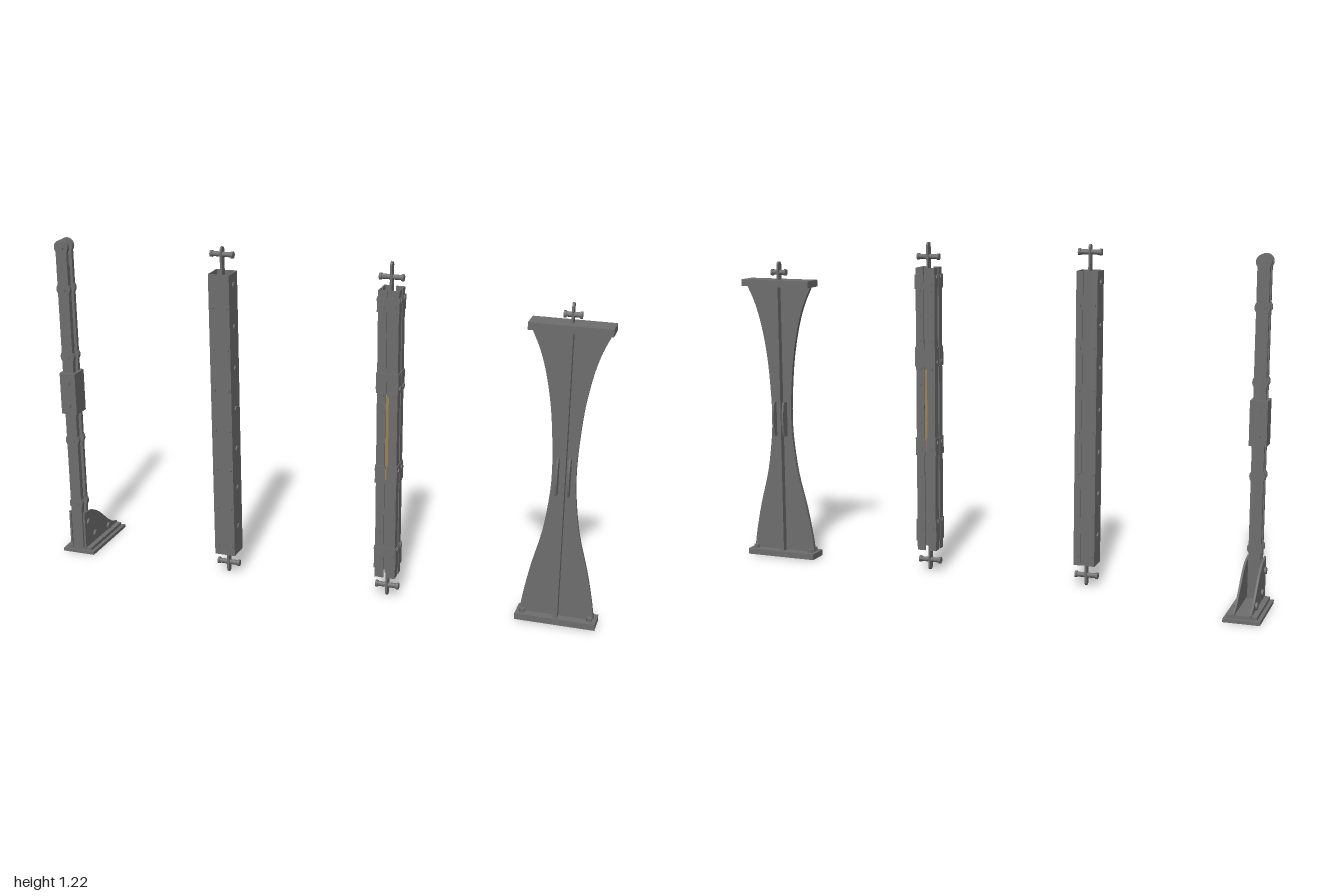
import * as THREE from 'three';

const steel = new THREE.MeshStandardMaterial({ color: 0x6e6e6e, side: THREE.DoubleSide, flatShading: true });
const tan = new THREE.MeshStandardMaterial({ color: 0x9a8258 });
const ZC = 0.098;

function add(parent, name, geo, x = 0, y = 0, z = 0, mat = steel) {
  const m = new THREE.Mesh(geo, mat);
  m.name = name;
  m.position.set(x, y, z);
  parent.add(m);
  return m;
}
// box given by its limits
function box(parent, name, x0, x1, y0, y1, z0, z1, mat) {
  return add(parent, name, new THREE.BoxGeometry(x1 - x0, y1 - y0, z1 - z0),
    (x0 + x1) / 2, (y0 + y1) / 2, (z0 + z1) / 2, mat);
}
// cylinder lying along an axis
function rod(parent, name, axis, r, len, x, y, z, sides = 12) {
  const m = add(parent, name, new THREE.CylinderGeometry(r, r, len, sides), x, y, z);
  if (axis === 'x') m.rotation.z = Math.PI / 2;
  if (axis === 'z') m.rotation.x = Math.PI / 2;
  return m;
}
// flat plate cut from an XY outline, centred on z
function plate(parent, name, shape, depth, x, y, z) {
  const g = new THREE.ExtrudeGeometry(shape, { depth, bevelEnabled: false, curveSegments: 12 });
  g.translate(0, 0, -depth / 2);
  return add(parent, name, g, x, y, z);
}
function group(parent, name, x = 0, z = ZC) {
  const g = new THREE.Group();
  g.name = name;
  g.position.set(x, 0, z);
  parent.add(g);
  return g;
}
// round-ended tang with a cross pin
function tangAndPin(parent, y0, y1, pinY, half) {
  const r = 0.013, s = new THREE.Shape();
  s.absarc(0, y1 - r, r, 0, Math.PI, false);
  s.absarc(0, y0 + r, r, Math.PI, Math.PI * 2, false);
  plate(parent, 'tang', s, 0.007, 0, 0, 0).rotation.y = Math.PI / 2;
  rod(parent, 'crossPin', 'x', 0.009, half * 2, 0, pinY, 0);
  for (const i of [-1, 1]) rod(parent, 'pinHead', 'x', 0.012, 0.008, i * (half - 0.004), pinY, 0);
}

// slender post of two knuckled plates on a braced foot
function footedPost(root) {
  const g = group(root, 'footedPost', -0.938);
  const knuckles = [0.2, 0.45, 0.77, 1.02, 1.171];
  for (const i of [-1, 1]) {
    const z = i * 0.019;
    box(g, 'rail', -0.021, 0.021, 0.02, 1.171, z - 0.007, z + 0.007);
    for (const y of knuckles) {
      rod(g, 'knuckle', 'z', 0.0265, 0.014, 0, y, z, 20);
      rod(g, 'boltHead', 'z', 0.01, 0.006, 0, y, i * 0.028, 8);
    }
    // middle splice plates
    box(g, 'splicePlate', -0.03, 0.03, 0.555, 0.71, i * 0.03 - 0.005, i * 0.03 + 0.005);
    box(g, 'spliceCheek', i * 0.025 - 0.005, i * 0.025 + 0.005, 0.555, 0.71, -0.033, 0.033);
    for (const y of [0.59, 0.675]) rod(g, 'boltHead', 'z', 0.01, 0.008, 0, y, i * 0.037, 8);
    // curved foot brace
    const s = new THREE.Shape();
    s.moveTo(-0.025, 0.02);
    s.lineTo(0.235, 0.02);
    s.lineTo(0.235, 0.028);
    s.bezierCurveTo(0.15, 0.05, 0.12, 0.125, 0.035, 0.156);
    s.lineTo(-0.025, 0.165);
    plate(g, 'footBrace', s, 0.007, i * 0.028, 0, 0).rotation.y = Math.PI / 2;
    for (const [y, z] of [[0.055, -0.048], [0.04, -0.158], [0.12, 0]])
      rod(g, 'braceBolt', 'x', 0.012, 0.01, i * 0.034, y, z, 10);
  }
  box(g, 'web', -0.011, 0.011, 0.02, 1.1, -0.014, 0.014);
  box(g, 'basePlate', -0.062, 0.062, 0, 0.012, -0.243, 0.027);
  box(g, 'baseStep', -0.05, 0.05, 0.012, 0.024, -0.232, 0.02);
}

// riveted hollow square column
function boxColumn(root) {
  const g = group(root, 'boxColumn', -0.339);
  const a = 0.038, t = 0.004, y0 = 0.085, y1 = 1.125;
  for (const i of [-1, 1]) {
    box(g, 'sideWall', i * (a - t / 2) - t / 2, i * (a - t / 2) + t / 2, y0, y1, -a, a);
    box(g, 'backFlange', i * 0.026 - 0.012, i * 0.026 + 0.012, y0, y1, -a, -a + t);
    for (let k = 0; k < 7; k++) {
      rod(g, 'sideRivet', 'x', 0.01, 0.006, i * 0.04, 0.19 + k * 0.149, 0, 8);
      for (const j of [-1, 1])
        rod(g, 'faceRivet', 'z', 0.007, 0.008, j * 0.026, 0.12 + k * 0.148, i * 0.042, 8);
    }
  }
  box(g, 'frontWall', -a, a, y0, y1, a - t, a);
  box(g, 'backWeb', -0.015, 0.015, y0, y1, -a + t, -a + 2 * t);
  tangAndPin(g, 1.04, 1.215, 1.188, 0.042);
  tangAndPin(g, 0.005, 0.17, 0.042, 0.042);
}

// four corner angles tied by bands around a core
function bandedColumn(root) {
  const g = group(root, 'bandedColumn', 0.261);
  const a = 0.036, t = 0.005, w = 0.03, y0 = 0.085, y1 = 1.12;
  for (const i of [-1, 1]) for (const j of [-1, 1]) {
    const c = group(g, 'cornerAngle', 0, 0);
    c.scale.set(i, 1, j);
    box(c, 'angleFace', a - w, a, y0, y1, a - t, a);
    box(c, 'angleSide', a - t, a, y0, y1, a - w, a);
    for (const [b0, b1] of [[0.12, 0.2], [0.44, 0.505], [0.765, 0.835], [1.045, 1.095]]) {
      box(c, 'bandFace', 0.003, 0.039, b0, b1, 0.036, 0.039);
      box(c, 'bandSide', 0.036, 0.039, b0, b1, 0.003, 0.039);
    }
    for (const y of [0.19, 0.485, 0.78, 1.085]) {
      rod(c, 'bandBoltSide', 'x', 0.009, 0.006, 0.04, y, 0.02, 8);
      rod(c, 'bandBoltFace', 'z', 0.009, 0.006, 0.02, y - 0.02, 0.04, 8);
    }
    for (const y of [0.13, 0.26, 0.36, 0.56, 0.7, 0.86, 0.95, 1.04])
      rod(c, 'angleRivet', 'z', 0.006, 0.006, 0.022, y, 0.037, 8);
  }
  box(g, 'web', -0.025, 0.025, 0.1, 1.09, -0.003, 0.003);
  box(g, 'crossWeb', -0.003, 0.003, 0.1, 1.09, -0.025, 0.025);
  box(g, 'core', -0.028, 0.028, 0.45, 0.75, -0.028, 0.028, tan);
  tangAndPin(g, 1.02, 1.21, 1.158, 0.042);
  tangAndPin(g, 0.005, 0.17, 0.042, 0.042);
}

// broad waisted plate with a centre rib and end caps
function waistedColumn(root) {
  const g = group(root, 'waistedColumn', 0.862, 0.1);
  const half = [[0.126, 0.025], [0.117, 0.09], [0.095, 0.2], [0.062, 0.33], [0.044, 0.46], [0.04, 0.55],
    [0.044, 0.65], [0.055, 0.77], [0.075, 0.88], [0.1, 0.965], [0.132, 1.035]];
  const curve = new THREE.SplineCurve(half.map(p => new THREE.Vector2(...p))).getPoints(40);
  const outline = [...curve, ...curve.slice().reverse().map(p => new THREE.Vector2(-p.x, p.y))];
  plate(g, 'waistedPlate', new THREE.Shape(outline), 0.014, 0, 0, 0);
  box(g, 'rib', -0.008, 0.008, 0.02, 1.04, -0.03, 0.03);
  box(g, 'topCap', -0.137, 0.137, 1.033, 1.058, -0.04, 0.04);
  box(g, 'bottomCap', -0.137, 0.137, 0.004, 0.026, -0.04, 0.04);
  // lens-shaped stiffeners either side of the rib
  const s = new THREE.Shape();
  s.moveTo(-0.03, 0.47);
  s.quadraticCurveTo(-0.05, 0.535, -0.03, 0.6);
  s.lineTo(0.03, 0.6);
  s.quadraticCurveTo(0.05, 0.535, 0.03, 0.47);
  for (const i of [-1, 1]) {
    plate(g, 'stiffener', s, 0.007, i * 0.02, 0, 0).rotation.y = Math.PI / 2;
    for (const j of [-1, 1]) rod(g, 'capBolt', 'y', 0.01, 0.014, i * 0.115, 0.032, j * 0.018, 8);
  }
  tangAndPin(g, 1.03, 1.125, 1.085, 0.03);
}

export function createModel() {
  const root = new THREE.Group();
  root.name = 'columnSet';
  footedPost(root);
  boxColumn(root);
  bandedColumn(root);
  waistedColumn(root);
  return root;
}
